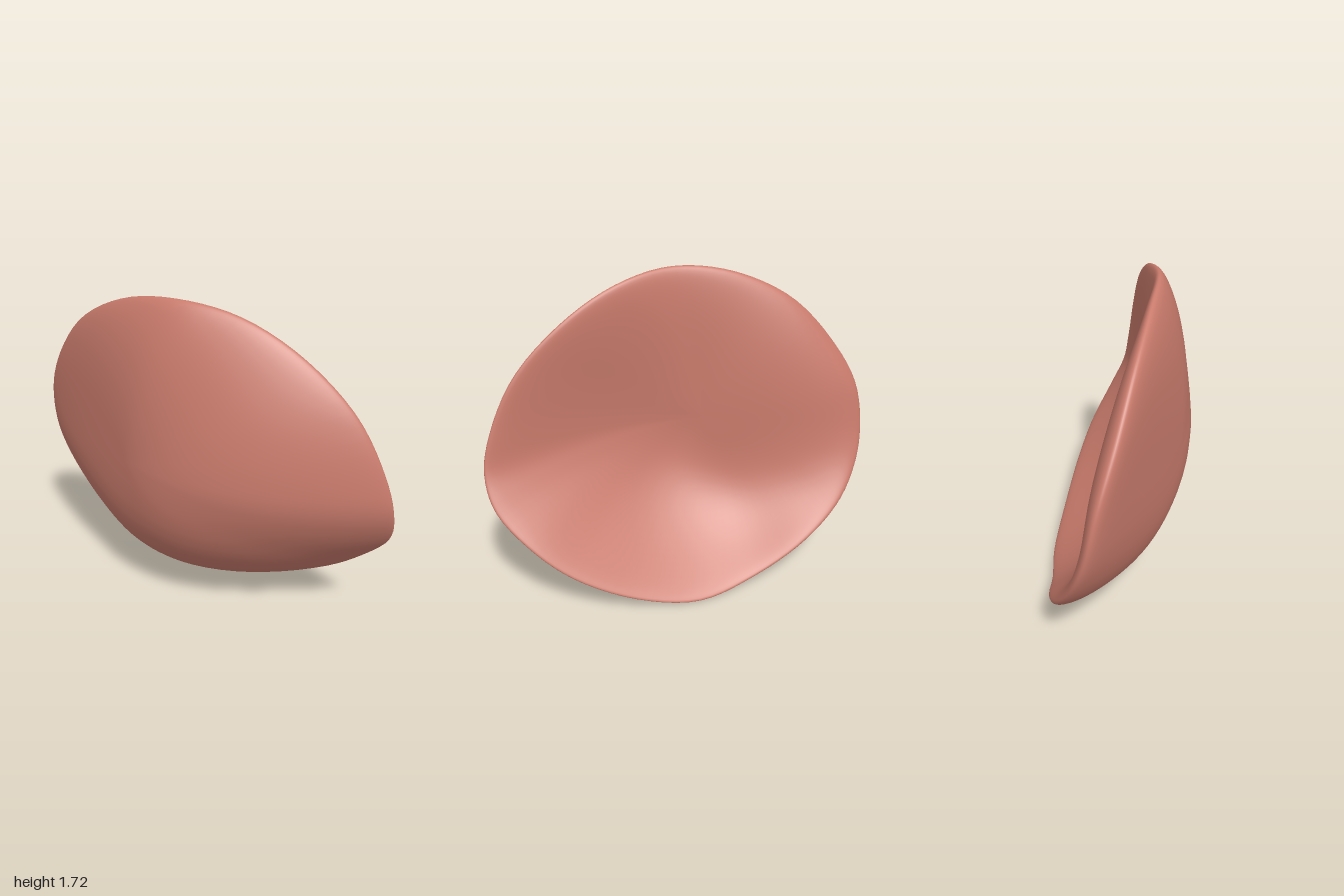
import * as THREE from 'three';
import { mergeVertices } from 'three/addons/utils/BufferGeometryUtils.js';

// Rim of the dish: top, down the front, along the bottom, up the back
const RIM = [
  [-0.24, 1.72, 0.07], [-0.08, 1.665, 0.34], [0.07, 1.51, 0.60], [0.20, 1.26, 0.84],
  [0.285, 0.97, 0.97], [0.33, 0.78, 1.00], [0.395, 0.61, 0.945], [0.45, 0.41, 0.76],
  [0.45, 0.235, 0.54], [0.39, 0.075, 0.22], [0.295, 0.005, -0.10], [0.15, 0.065, -0.39],
  [0.01, 0.22, -0.68], [-0.14, 0.395, -0.88], [-0.265, 0.58, -0.975], [-0.345, 0.77, -1.00],
  [-0.39, 1.03, -0.955], [-0.41, 1.27, -0.81], [-0.39, 1.52, -0.57], [-0.33, 1.675, -0.25],
];
const CENTRE = new THREE.Vector3(-0.345, 0.88, -0.10);

// Point on the middle surface of the shell, s = 0 at the centre and 1 at the rim
function middle(p, s) {
  const dy = p.y - CENTRE.y, dz = p.z - CENTRE.z;
  const r = Math.hypot(dy, dz);
  const cy = dy / r, cz = dz / r;
  // The wall rises gently at the front and turns up sharply at the lower back
  const power = 2.85 - 0.8 * cz - 0.5 * cy;
  // Towards the centre the outline relaxes into an ellipse
  const ellipse = 1 / Math.hypot(cy / 0.86, cz / 1.0);
  const radius = s * THREE.MathUtils.lerp(ellipse, r, s * s);
  return new THREE.Vector3(
    CENTRE.x + (p.x - CENTRE.x) * s ** power,
    CENTRE.y + cy * radius,
    CENTRE.z + cz * radius
  );
}

// Closed curved shell: rings run from the outer centre, round the rim, to the inner centre
function dishGeometry(rings = 64, segments = 96) {
  const curve = new THREE.CatmullRomCurve3(RIM.map(p => new THREE.Vector3(...p)), true);
  const rim = Array.from({ length: segments }, (_, j) => curve.getPoint(j / segments));
  const positions = [];
  const indices = [];

  for (let i = 0; i <= rings; i++) {
    const pole = i === 0 || i === rings;
    const s = pole ? 0 : Math.sin((i / rings) * Math.PI);
    const side = i < rings / 2 ? -1 : 1;
    const offset = side * (0.11 - 0.045 * s * s) * Math.sqrt(Math.max(0, 1 - s ** 5));
    rim.forEach((p, j) => {
      const point = middle(p, s);
      const normal = new THREE.Vector3(1, 0, 0);
      if (!pole) {
        const outward = middle(p, s + 0.005).sub(middle(p, s - 0.005));
        const along = middle(rim[(j + 1) % segments], s)
          .sub(middle(rim[(j + segments - 1) % segments], s));
        normal.crossVectors(outward, along).normalize();
        if (normal.x < 0) normal.negate();
      }
      positions.push(...point.addScaledVector(normal, offset).toArray());
    });
  }

  for (let i = 0; i < rings; i++) {
    for (let j = 0; j < segments; j++) {
      const k = (j + 1) % segments;
      const a = i * segments + j, b = a + segments;
      const d = i * segments + k, c = d + segments;
      if (i > 0) indices.push(a, d, c);
      if (i < rings - 1) indices.push(a, c, b);
    }
  }

  const geometry = new THREE.BufferGeometry();
  geometry.setAttribute('position', new THREE.Float32BufferAttribute(positions, 3));
  geometry.setIndex(indices);
  const merged = mergeVertices(geometry, 1e-5);
  merged.computeVertexNormals();
  return merged;
}

export function createModel() {
  const group = new THREE.Group();
  group.name = 'curvedDish';

  const clay = new THREE.MeshStandardMaterial({ color: 0xc97b6c });
  clay.name = 'clayPink';

  const dish = new THREE.Mesh(dishGeometry(), clay);
  dish.name = 'dishShell';
  group.add(dish);
  return group;
}
